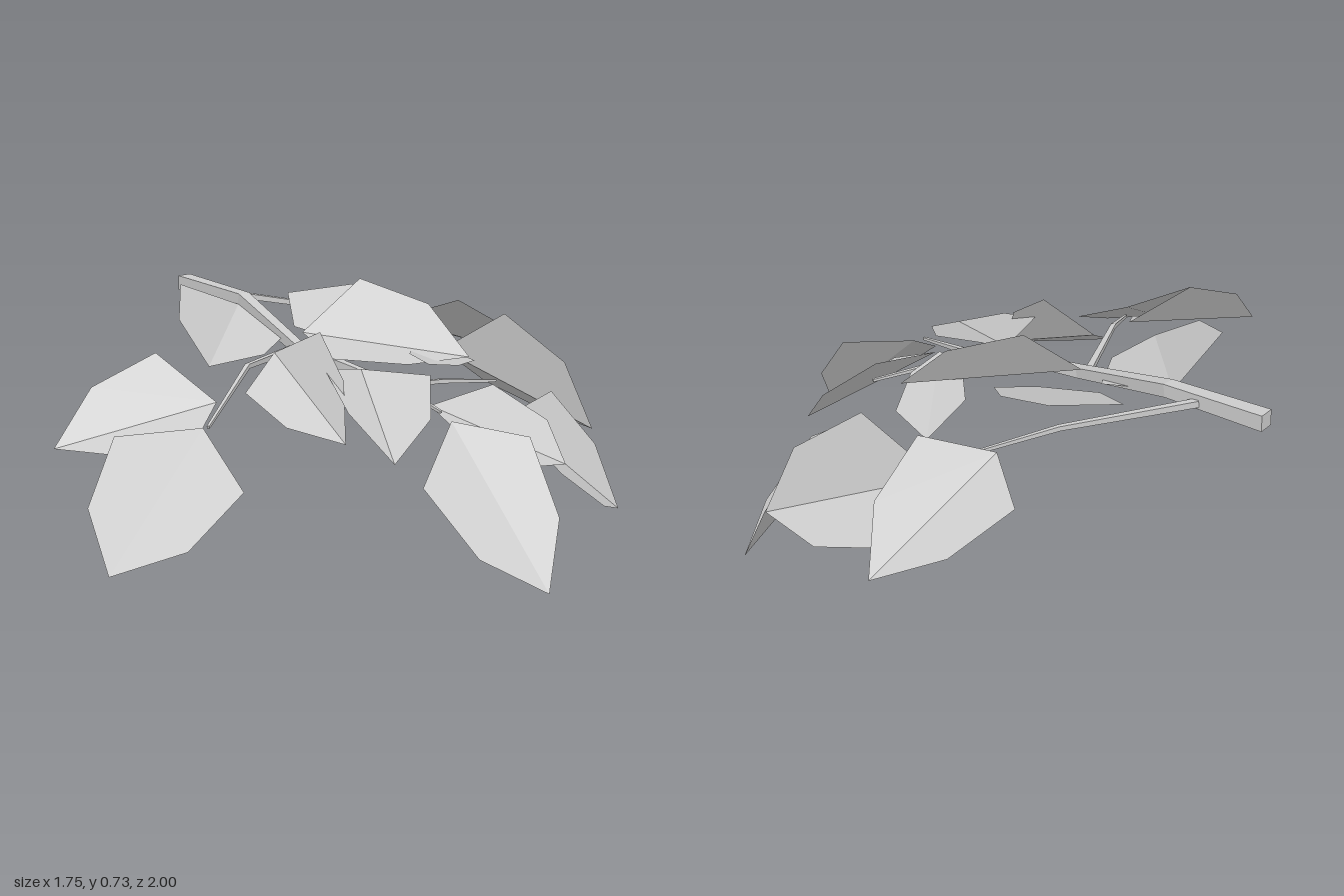
import * as THREE from 'three';

const grey = new THREE.MeshStandardMaterial({ color: 0xcccccc, flatShading: true, side: THREE.DoubleSide });
grey.name = 'pale grey';

const vec = (p) => new THREE.Vector3(...p);

function facetMesh(name, corners) {
  const geometry = new THREE.BufferGeometry().setFromPoints(corners);
  geometry.computeVertexNormals();
  const mesh = new THREE.Mesh(geometry, grey);
  mesh.name = name;
  return mesh;
}

// Folded leaf: a straight midrib with a shoulder on each side; the second,
// narrower shoulder on each side follows from the first.
function leaf(base, tip, ...shoulders) {
  const a = vec(base), b = vec(tip);
  const rib = b.clone().sub(a);
  const corners = [];
  for (const shoulder of shoulders) {
    const s1 = vec(shoulder);
    const t = s1.clone().sub(a).dot(rib) / rib.lengthSq();
    const out = s1.clone().sub(a).addScaledVector(rib, -t);
    const s2 = a.clone().addScaledVector(rib, t + 0.43).addScaledVector(out, 0.75);
    // wind both halves so that they face upward
    const up = rib.x * out.z - rib.z * out.x < 0;
    corners.push(...(up ? [a, s1, s2, a, s2, b] : [a, s2, s1, a, b, s2]).map((p) => p.clone()));
    const n = corners.length - 6;
    const normal = new THREE.Triangle(corners[n], corners[n + 1], corners[n + 2]).getNormal(new THREE.Vector3());
    if (normal.y < 0) {
      for (const i of [n, n + 3]) [corners[i + 1], corners[i + 2]] = [corners[i + 2], corners[i + 1]];
    }
  }
  return facetMesh('leaf', corners);
}

// Four-sided tapering stem through a few points
function stem(name, points, startRadius, endRadius) {
  const path = points.map(vec);
  const last = path.length - 1;
  const rings = path.map((p, i) => {
    const along = path[Math.min(i + 1, last)].clone().sub(path[Math.max(i - 1, 0)]).normalize();
    const side = new THREE.Vector3().crossVectors(along, new THREE.Vector3(0, 1, 0)).normalize();
    const up = new THREE.Vector3().crossVectors(side, along);
    const r = THREE.MathUtils.lerp(startRadius, endRadius, i / last);
    return [[1, 1], [-1, 1], [-1, -1], [1, -1]].map(([u, v]) =>
      p.clone().addScaledVector(side, u * r).addScaledVector(up, v * r));
  });
  const corners = [];
  const quad = (a, b, c, d) => corners.push(a, b, c, a, c, d);
  for (let i = 0; i < last; i++) {
    for (let j = 0; j < 4; j++) {
      const k = (j + 1) % 4;
      quad(rings[i][j], rings[i + 1][j], rings[i + 1][k], rings[i][k]);
    }
  }
  quad(...rings[0]);
  quad(...rings[last].slice().reverse());
  return facetMesh(name, corners);
}

export function createModel() {
  const model = new THREE.Group();
  model.name = 'leafyBranch';

  // Main branch and its side twigs
  model.add(
    stem('mainBranch', [[-0.875, 0.635, -0.04], [-0.56, 0.625, -0.06], [-0.2, 0.53, -0.015],
      [0, 0.51, -0.04], [0.2, 0.48, -0.08], [0.4, 0.45, -0.065]], 0.024, 0.004),
    stem('backTwig', [[-0.67, 0.625, -0.07], [-0.42, 0.575, -0.36], [-0.235, 0.5, -0.57]], 0.01, 0.004),
    stem('frontTwig', [[-0.22, 0.53, 0], [-0.1, 0.54, 0.26], [0.05, 0.43, 0.51]], 0.01, 0.004),
    stem('rightTwig', [[0.19, 0.48, -0.085], [0.22, 0.48, -0.22], [0.295, 0.47, -0.385]], 0.008, 0.004),
  );

  // Leaves: base, tip, then one shoulder on either side
  const leaves = new THREE.Group();
  leaves.name = 'leaves';
  leaves.add(
    // back
    leaf([-0.335, 0.535, -0.52], [-0.325, 0.36, -1], [-0.515, 0.49, -0.645], [-0.19, 0.6, -0.675]),
    leaf([-0.195, 0.44, -0.61], [0.28, 0.23, -0.84], [-0.19, 0.3, -0.805], [0.025, 0.59, -0.68]),
    leaf([0.31, 0.355, -0.425], [0.425, 0, -0.82], [0.255, 0.38, -0.67], [0.52, 0.215, -0.45]),
    leaf([-0.075, 0.475, -0.53], [0.195, 0.53, -0.2], [0.1, 0.48, -0.48], [-0.055, 0.52, -0.35]),
    leaf([-0.53, 0.63, -0.22], [-0.1, 0.55, -0.28], [-0.41, 0.655, -0.395], [-0.36, 0.56, -0.115]),
    // end of the branch
    leaf([0.315, 0.445, -0.1], [0.56, 0.26, -0.425], [0.35, 0.48, -0.32], [0.5, 0.36, -0.1]),
    leaf([0.44, 0.43, -0.07], [0.87, 0.035, -0.05], [0.635, 0.405, -0.195], [0.545, 0.295, 0.13]),
    // middle
    leaf([-0.245, 0.57, -0.06], [0.16, 0.515, -0.4], [-0.18, 0.73, -0.24], [-0.04, 0.53, -0.015]),
    leaf([0.08, 0.52, -0.03], [0.51, 0.37, 0.205], [0.28, 0.525, -0.13], [0.105, 0.55, 0.13]),
    leaf([-0.12, 0.56, 0.145], [0.29, 0.375, 0.2], [0.04, 0.645, 0.095], [-0.065, 0.47, 0.295]),
    leaf([-0.56, 0.61, -0.04], [-0.215, 0.525, 0.32], [-0.33, 0.56, -0.075], [-0.56, 0.705, 0.185]),
    // front
    leaf([0.075, 0.44, 0.545], [0.29, 0.165, 1], [0.005, 0.445, 0.795], [0.31, 0.315, 0.575]),
    leaf([-0.035, 0.47, 0.42], [-0.2, 0.375, 0.87], [-0.19, 0.605, 0.525], [0.07, 0.4, 0.57]),
  );
  model.add(leaves);
  return model;
}
